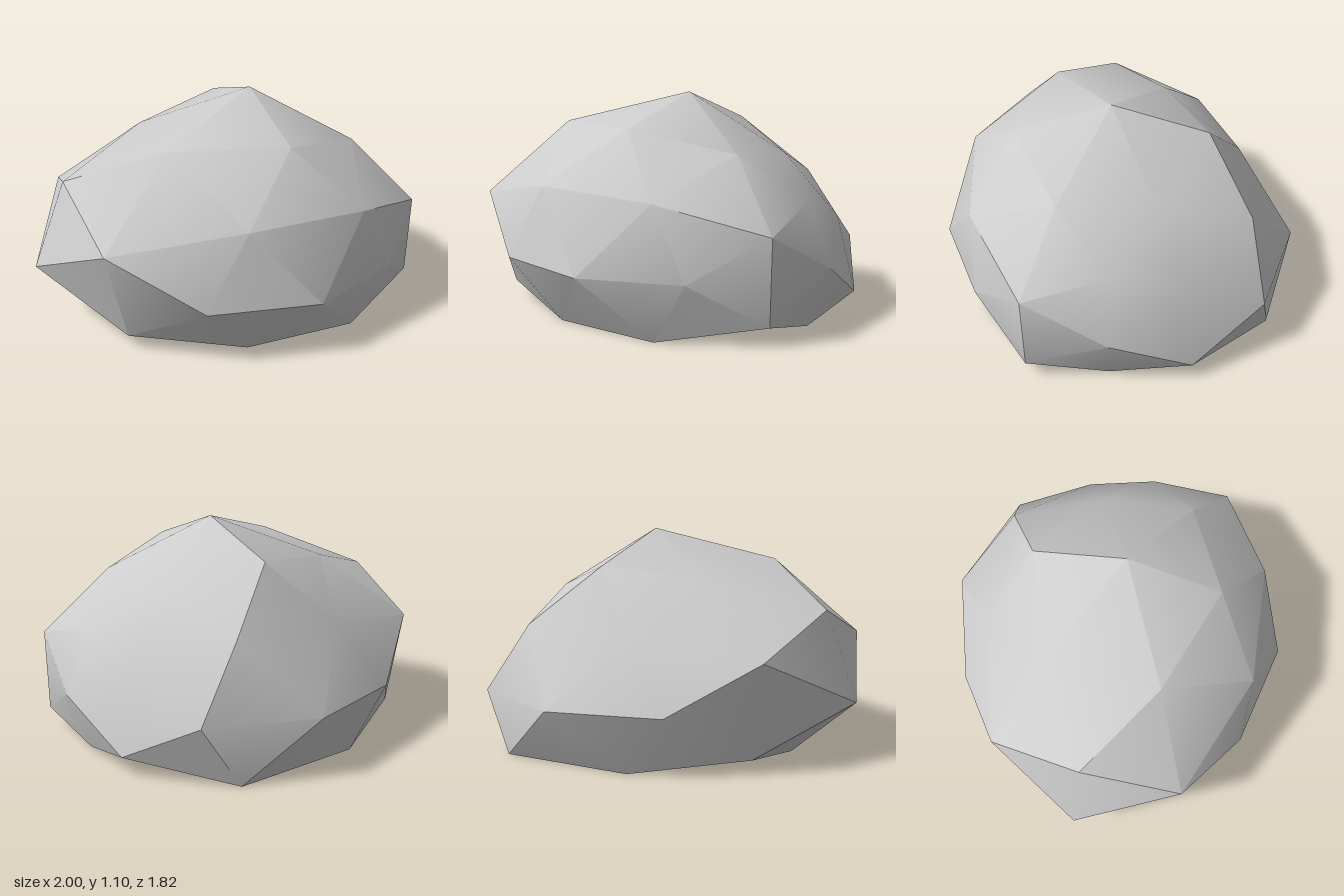
import * as THREE from 'three';
import { toCreasedNormals } from 'three/addons/utils/BufferGeometryUtils.js';

// Distance of each sphere point from the centre, keyed by the signs of its
// direction; points off every coordinate plane are prefixed by their main axis.
const RADII = {
  // axis points
  '+00': 0.726, '-00': 1.013, '0+0': 0.976, '00+': 0.87, '00-': 0.95,
  // points on one coordinate plane
  '0++': 0.925, '0+-': 0.92,
  '++0': 0.72, '-+0': 1.02, '+-0': 0.73, '--0': 0.84,
  '+0+': 0.787, '-0+': 0.895, '+0-': 0.89, '-0-': 0.903,
  // upper crown
  'y+++': 0.81, 'y-++': 0.97, 'y++-': 0.75, 'y-+-': 0.88,
  // front and back shoulders
  'z+++': 0.85, 'z-++': 0.915, 'z++-': 0.855, 'z-+-': 0.83,
  'z+-+': 0.81, 'z--+': 0.81, 'z+--': 1.0, 'z---': 0.93,
  // side shoulders
  'x+++': 0.82, 'x-++': 1.02, 'x++-': 0.72, 'x-+-': 0.98,
  'x+-+': 0.81, 'x--+': 0.89, 'x+--': 0.81, 'x---': 0.9,
};
const DEFAULT_RADIUS = 0.85; // points pressed into the flat base
const CENTRE = new THREE.Vector3(0.165, 0.3, 0.04);
const STRETCH = new THREE.Vector3(1.15, 0.82, 1);

function radiusFor(d) {
  const c = d.toArray();
  let key = c.map((v) => (Math.abs(v) < 0.01 ? '0' : v > 0 ? '+' : '-')).join('');
  if (!key.includes('0')) {
    const size = c.map(Math.abs);
    key = 'xyz'[size.indexOf(Math.max(...size))] + key;
  }
  return RADII[key] ?? DEFAULT_RADIUS;
}

export function createModel() {
  const group = new THREE.Group();
  group.name = 'boulder';
  const stone = new THREE.MeshStandardMaterial({ color: 0xcccccc });
  stone.name = 'stone grey';

  // Lumpy low-poly sphere, flattened where it meets the ground
  const ball = new THREE.IcosahedronGeometry(1, 1).rotateY(Math.PI / 2);
  const pos = ball.attributes.position;
  const p = new THREE.Vector3();
  for (let i = 0; i < pos.count; i++) {
    p.fromBufferAttribute(pos, i);
    p.multiplyScalar(radiusFor(p)).multiply(STRETCH).add(CENTRE);
    pos.setXYZ(i, p.x, Math.max(0, p.y), p.z);
  }

  const rock = new THREE.Mesh(toCreasedNormals(ball, Math.PI / 6), stone);
  rock.name = 'rock';
  group.add(rock);
  return group;
}
